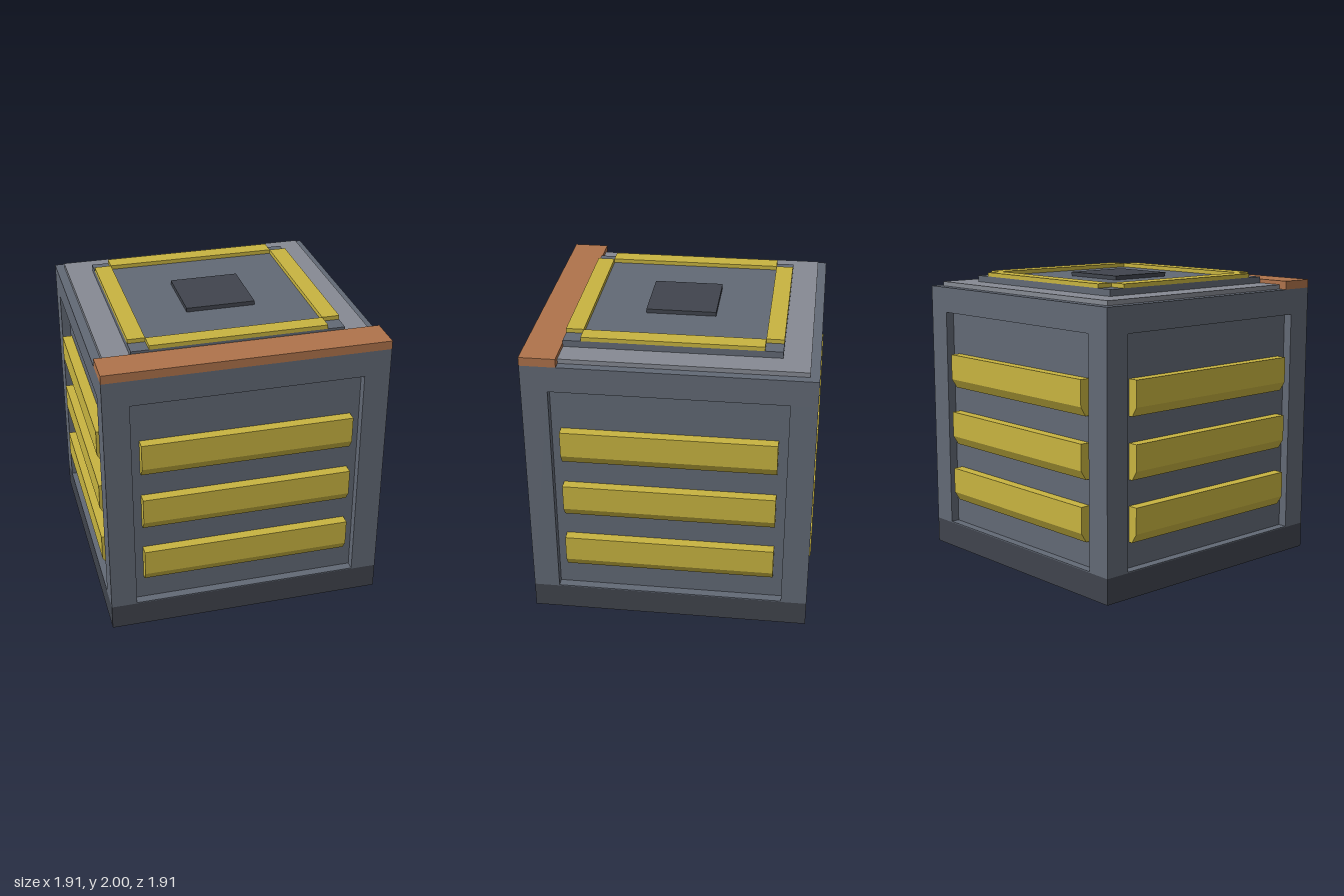
import * as THREE from 'three';

const mat = (name, color) => {
  const m = new THREE.MeshStandardMaterial({ color });
  m.name = name;
  return m;
};

export function createModel() {
  const model = new THREE.Group();
  model.name = 'crate';

  const steel = mat('blueGrey', 0x626975);
  const dark = mat('darkGrey', 0x40444d);
  const light = mat('lightGrey', 0x868a93);
  const yellow = mat('yellow', 0xc8b440);
  const copper = mat('copper', 0xaf734b);

  const W = 0.947;       // half width of the crate
  const PANEL = 0.772;   // half width of the recessed panels
  const INNER = 0.887;   // half width at the panel surface
  const LID = 0.709;     // half width of the raised lid

  // Box given by its lower and upper corners
  const box = (name, material, [x0, y0, z0], [x1, y1, z1], parent = model) => {
    const g = new THREE.BoxGeometry(x1 - x0, y1 - y0, z1 - z0);
    g.translate((x0 + x1) / 2, (y0 + y1) / 2, (z0 + z1) / 2);
    const mesh = new THREE.Mesh(g, material);
    mesh.name = name;
    parent.add(mesh);
    return mesh;
  };
  const slab = (name, material, half, y0, y1) =>
    box(name, material, [-half, y0, -half], [half, y1, half]);

  // Body: base, sill, panel core, top rim and corner posts
  slab('base', dark, W, 0, 0.175);
  slab('sill', steel, W, 0.175, 0.182);
  slab('panelCore', steel, INNER, 0.182, 1.72);
  slab('topRim', steel, W, 1.72, 1.897);
  for (const sx of [-1, 1]) {
    for (const sz of [-1, 1]) {
      const post = box('cornerPost', steel, [PANEL, 0.182, PANEL], [W, 1.72, W]);
      const c = (PANEL + W) / 2;
      post.geometry.translate(-c, 0, -c);
      post.position.set(sx * c, 0, sz * c);
    }
  }

  // Slat: bar with a bevelled lower front edge
  const profile = new THREE.Shape([
    [0.88, 0], [0.917, 0], [0.957, 0.063], [0.957, 0.24], [0.88, 0.24],
  ].map(([x, y]) => new THREE.Vector2(x, y)));
  const slatGeometry = new THREE.ExtrudeGeometry(profile, { depth: 2 * LID, bevelEnabled: false });
  slatGeometry.translate(0, 0, -LID);
  slatGeometry.rotateY(-Math.PI / 2);

  // Three slats on each of the four sides
  for (let side = 0; side < 4; side++) {
    const group = new THREE.Group();
    group.name = 'slats';
    group.rotation.y = side * Math.PI / 2;
    for (let i = 0; i < 3; i++) {
      const slat = new THREE.Mesh(slatGeometry, yellow);
      slat.name = 'slat';
      slat.position.y = 0.357 + i * 0.414;
      group.add(slat);
    }
    model.add(group);
  }

  // Lid: light plate, raised plate and front strip
  slab('lidPlate', light, INNER, 1.897, 1.928);
  slab('raisedPlate', steel, LID, 1.928, 1.972);
  box('frontStrip', copper, [-W, 1.897, LID], [W, 1.955, W]);

  // Trim bars along the raised plate, leaving its corners bare
  for (let side = 0; side < 4; side++) {
    const bar = box('trimBar', yellow, [-0.592, 1.972, 0.592], [0.592, 2, LID]);
    bar.rotation.y = side * Math.PI / 2;
  }
  slab('centrePad', dark, 0.235, 1.972, 2);

  return model;
}
